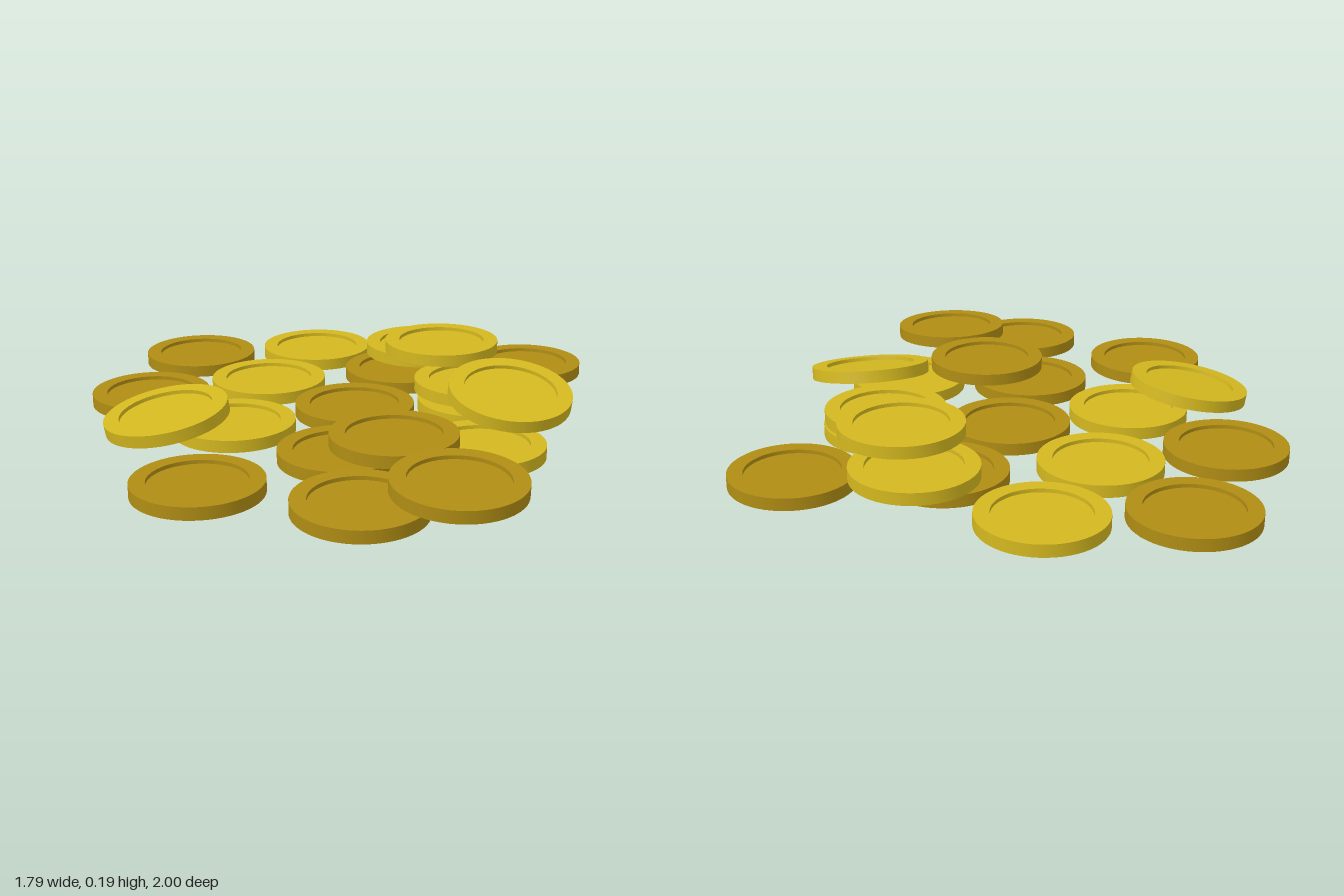
import * as THREE from 'three';
import { toCreasedNormals } from 'three/addons/utils/BufferGeometryUtils.js';

const R = 0.198, INNER = 0.149, HALF = 0.02, FLOOR = 0.008;

// Coin profile: raised rim around a recessed disc on both faces
function coinGeometry() {
  const profile = [
    [0, -FLOOR], [INNER, -FLOOR], [INNER, -HALF], [R, -HALF],
    [R, HALF], [INNER, HALF], [INNER, FLOOR], [0, FLOOR],
  ].map(([x, y]) => new THREE.Vector2(x, y));
  return toCreasedNormals(new THREE.LatheGeometry(profile, 56), 0.6);
}

// x, z, centre height, tilt about x, tilt about z
const LOW = 0.02, MID = 0.08, HIGH = 0.14;
const darkCoins = [
  [-0.39, -0.80, LOW], [-0.66, -0.41, LOW], [0.24, -0.36, LOW],
  [0.69, -0.26, LOW], [-0.05, -0.05, LOW], [-0.70, 0.42, LOW],
  [-0.23, 0.33, LOW], [-0.09, 0.41, MID],
  [-0.32, 0.74, 0.033, 0.03], [-0.05, 0.80, 0.077, 0.06],
];
const lightCoins = [
  [0.04, -0.72, LOW], [-0.24, -0.415, LOW], [-0.47, -0.03, LOW],
  [0.19, 0.44, LOW], [0.35, 0.05, LOW], [0.35, 0.02, MID],
  [0.35, -0.44, MID], [0.35, -0.25, HIGH],
  [-0.69, -0.02, 0.085, 0, 0.166], [0.35, 0.30, 0.131, 0.22],
];

export function createModel() {
  const model = new THREE.Group();
  model.name = 'coinPile';
  const geometry = coinGeometry();

  const addCoins = (name, list, color) => {
    const material = new THREE.MeshStandardMaterial({ color });
    list.forEach(([x, z, y, tiltX = 0, tiltZ = 0], i) => {
      const coin = new THREE.Mesh(geometry, material);
      coin.name = `${name}${i + 1}`;
      coin.position.set(x, y, z);
      coin.rotation.set(tiltX, 0, tiltZ);
      model.add(coin);
    });
  };

  addCoins('darkCoin', darkCoins, 0xb08d14);
  addCoins('lightCoin', lightCoins, 0xd4b81f);
  return model;
}
